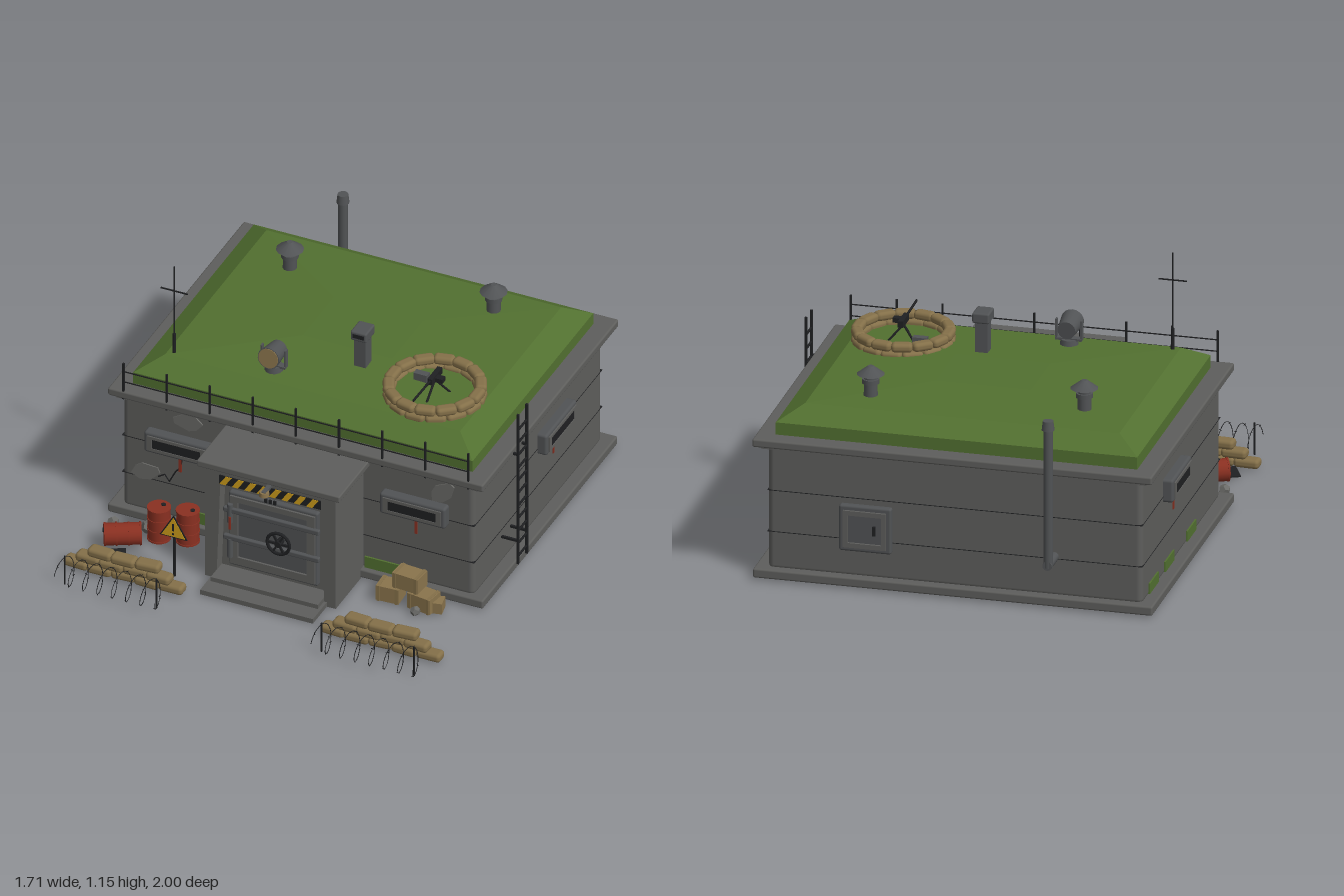
import * as THREE from 'three';
import { RoundedBoxGeometry } from 'three/addons/geometries/RoundedBoxGeometry.js';

const colour = (name, color) => { const m = new THREE.MeshStandardMaterial({ color }); m.name = name; return m; };
const concrete = colour('concrete', 0x5e5e5c), plaster = colour('chippedConcrete', 0x6a6a67);
const steel = colour('steel', 0x515355), black = colour('blackMetal', 0x1f2022);
const grass = colour('grass', 0x527030), sand = colour('sandbagCloth', 0x847049);
const wood = colour('crateWood', 0x8a744c), red = colour('rustRed', 0x8a3021), yellow = colour('warningYellow', 0xd2a01c);
const V = (x, y, z) => new THREE.Vector3(x, y, z);
const CX = -0.0125; // centre line of the bunker

function add(parent, name, geo, mat, x = 0, y = 0, z = 0, rx = 0, ry = 0, rz = 0) {
  const m = new THREE.Mesh(geo, mat);
  m.name = name; m.position.set(x, y, z); m.rotation.set(rx, ry, rz);
  parent.add(m);
  return m;
}
function group(parent, name, x = 0, y = 0, z = 0, ry = 0) {
  const g = new THREE.Group();
  g.name = name; g.position.set(x, y, z); g.rotation.y = ry;
  parent.add(g);
  return g;
}
const box = (w, h, d) => new THREE.BoxGeometry(w, h, d);
const rbox = (w, h, d, r = 0.01) => new RoundedBoxGeometry(w, h, d, 2, r);
const cyl = (rt, rb, h, n = 16) => new THREE.CylinderGeometry(rt, rb, h, n);
// Rod between two points
function rod(parent, name, a, b, r, mat, n = 6) {
  const d = b.clone().sub(a), m = add(parent, name, cyl(r, r, d.length(), n), mat);
  m.position.copy(a).addScaledVector(d, 0.5);
  m.quaternion.setFromUnitVectors(V(0, 1, 0), d.normalize());
}
// Flat outline with thickness, holes optional
function plate(pts, depth, hole) {
  const shape = new THREE.Shape(pts.map(p => new THREE.Vector2(...p)));
  if (hole) shape.holes.push(new THREE.Path(hole.map(p => new THREE.Vector2(...p))));
  return new THREE.ExtrudeGeometry(shape, { depth, bevelEnabled: false });
}
const rect = (x0, x1, y0, y1) => [[x0, y0], [x1, y0], [x1, y1], [x0, y1]];
// Box whose top is shrunk
function tapered(w, h, d, tw, td) {
  const g = box(w, h, d), p = g.attributes.position;
  for (let i = 0; i < p.count; i++) if (p.getY(i) > 0) p.setXYZ(i, p.getX(i) * tw / w, p.getY(i), p.getZ(i) * td / d);
  g.computeVertexNormals();
  return g;
}

// Firing slit with frame, dark opening and rust streak, facing +z
function slit(parent, x, y, z, ry) {
  const g = group(parent, 'firingSlit', x, y, z, ry);
  add(g, 'slitFrame', rbox(0.295, 0.1, 0.06, 0.012), steel, 0, 0, 0.01);
  add(g, 'slitFrameRim', plate(rect(-0.13, 0.13, -0.035, 0.035), 0.006, rect(-0.108, 0.108, -0.022, 0.022)), concrete, 0, 0, 0.04);
  add(g, 'slitOpening', box(0.216, 0.044, 0.004), black, 0, 0, 0.041);
  add(g, 'rustStreak', box(0.012, 0.085, 0.004), red, 0, -0.09, 0.002);
}
// Stacked sandbag wall with a coil of barbed wire before it
function barricade(parent, x0, x1) {
  const g = group(parent, 'sandbagWall');
  [5, 4, 3].forEach((n, row) => {
    const L = (x1 - x0) / 5, mid = (x0 + x1) / 2;
    for (let i = 0; i < n; i++)
      add(g, 'sandbag', rbox(L + 0.003, 0.04, 0.06, 0.016), sand, mid + (i - (n - 1) / 2) * L, 0.022 + row * 0.037, 0.8 + (i % 2) * 0.006, 0, (i % 3 - 1) * 0.06);
  });
  const a = x0 + 0.04, b = x1 - 0.04, pts = [];
  for (let i = 0; i <= 7 * 16; i++) {
    const t = i / 16 * Math.PI * 2;
    pts.push(V(a + (b - a) * i / 112, 0.068 + 0.06 * Math.sin(t), 0.94 + 0.06 * Math.cos(t)));
  }
  add(g, 'barbedWire', new THREE.TubeGeometry(new THREE.CatmullRomCurve3(pts), 224, 0.0015, 4), black);
  for (let i = 2; i < pts.length; i += 4) add(g, 'barb', box(0.012, 0.002, 0.002), black, pts[i].x, pts[i].y, pts[i].z, 0, 0, i);
  for (const x of [a + 0.02, b - 0.02]) add(g, 'wirePost', cyl(0.004, 0.004, 0.14, 6), black, x, 0.07, 0.94);
}
function barrel(parent, x, y, z, ry, lying) {
  const g = group(parent, 'barrel', x, y, z, ry);
  if (lying) g.rotation.z = Math.PI / 2;
  add(g, 'barrelBody', cyl(0.047, 0.047, 0.15), red);
  for (const h of [-0.073, -0.025, 0.025, 0.073]) add(g, 'barrelHoop', cyl(0.05, 0.05, 0.007), red, 0, h);
  add(g, 'barrelCap', cyl(0.01, 0.01, 0.006, 8), black, 0.022, 0.078);
}

function bunker(root) {
  const g = group(root, 'bunker');
  add(g, 'baseSlab', rbox(1.68, 0.04, 1.31, 0.008), concrete, CX, 0.025, -0.255);
  add(g, 'walls', rbox(1.575, 0.56, 1.24, 0.025), concrete, CX, 0.31, -0.25);
  add(g, 'cornice', box(1.62, 0.02, 1.27), concrete, CX, 0.575, -0.255);
  add(g, 'roofSlab', rbox(1.68, 0.035, 1.32, 0.008), concrete, CX, 0.597, -0.26);
  for (const y of [0.2, 0.38]) add(g, 'wallSeam', box(1.577, 0.003, 1.242), black, CX, y, -0.25);
  add(g, 'turfSide', box(1.52, 0.055, 1.17), grass, CX, 0.64, -0.26);
  add(g, 'turfSlope', tapered(1.52, 0.06, 1.17, 1.32, 0.98), grass, CX, 0.6975, -0.26);
  add(g, 'turfTop', tapered(1.32, 0.014, 0.98, 0.4, 0.3), grass, CX, 0.7345, -0.26);
  for (const s of [-1, 1]) {
    slit(g, CX + s * 0.5275, 0.405, 0.37, 0);
    slit(g, CX + s * 0.79, 0.405, -0.39, s * Math.PI / 2);
    for (const z of [-0.7, -0.45, -0.1]) if (s < 0) add(g, 'moss', box(0.008, 0.05, 0.14), grass, CX - 0.79, 0.065, z);
    add(g, 'moss', box(0.2, 0.055, 0.012), grass, CX + s * 0.4, 0.07, 0.372);
  }
  // Chipped patches and a crack on the front wall
  const chip = [[-0.07, -0.02], [-0.03, -0.04], [0.02, -0.03], [0.06, 0.01], [0.05, 0.035], [-0.02, 0.04], [-0.05, 0.02]];
  for (const [x, y, r] of [[-0.69, 0.23, 0], [-0.51, 0.53, 2.9], [0.64, 0.51, 0.5]]) add(g, 'chippedPatch', plate(chip, 0.006), plaster, x, y, 0.369, 0, 0, r);
  const crack = [[-0.64, 0.22], [-0.61, 0.24], [-0.59, 0.21], [-0.56, 0.27], [-0.54, 0.29], [-0.53, 0.35]];
  for (let i = 1; i < crack.length; i++) rod(g, 'crack', V(...crack[i - 1], 0.37), V(...crack[i], 0.37), 0.003, black, 4);
  // Rear hatch and stove pipe
  const h = group(g, 'rearHatch', 0.36, 0.255, -0.87, Math.PI);
  add(h, 'hatchFrame', rbox(0.22, 0.2, 0.05), steel);
  add(h, 'hatchRim', plate(rect(-0.09, 0.09, -0.08, 0.08), 0.01, rect(-0.07, 0.07, -0.06, 0.06)), concrete, 0, 0, 0.025);
  add(h, 'hatchHandle', box(0.012, 0.04, 0.012), black, 0.04, 0, 0.03);
  rod(g, 'pipeElbow', V(-0.43, 0.21, -0.86), V(-0.43, 0.21, -0.985), 0.02, steel, 12);
  add(g, 'stovePipe', cyl(0.02, 0.02, 0.62, 12), steel, -0.43, 0.51, -0.967);
  add(g, 'pipeCap', cyl(0.022, 0.027, 0.04, 12), steel, -0.43, 0.82, -0.967);
  // Side ladder
  const l = group(g, 'ladder', 0.848, 0, 0.06);
  for (const z of [-0.042, 0.042]) {
    add(l, 'ladderRail', box(0.01, 0.735, 0.01), black, 0, 0.42, z);
    for (const y of [0.165, 0.59]) add(l, 'ladderBracket', box(0.08, 0.01, 0.01), black, -0.04, y, z);
  }
  for (let i = 0; i < 11; i++) add(l, 'ladderRung', cyl(0.005, 0.005, 0.084, 6), black, 0, 0.09 + i * 0.062, 0, Math.PI / 2);
  // Front railing
  for (let i = 0; i < 9; i++) add(g, 'railingPost', box(0.008, 0.175, 0.008), black, -0.785 + i * 0.193, 0.663, 0.392);
  for (const y of [0.66, 0.71]) add(g, 'railingWire', box(1.545, 0.004, 0.004), black, CX, y, 0.392);
}

function entrance(root) {
  const g = group(root, 'entrance', CX);
  add(g, 'porchCore', box(0.585, 0.55, 0.24), concrete, 0, 0.275, 0.47);
  add(g, 'porchFrame', plate(rect(-0.2925, 0.2925, 0, 0.55), 0.05, [[-0.24, 0.04], [0.24, 0.04], [0.225, 0.46], [-0.225, 0.46]]), concrete, 0, 0, 0.59);
  add(g, 'porchRoof', rbox(0.64, 0.03, 0.3, 0.006), concrete, 0, 0.558, 0.515);
  add(g, 'lowerStep', box(0.505, 0.022, 0.15), concrete, 0, 0.011, 0.7);
  add(g, 'upperStep', box(0.48, 0.04, 0.06), concrete, 0, 0.022, 0.67);
  // Hazard band
  add(g, 'hazardBand', box(0.455, 0.042, 0.004), black, 0, 0.493, 0.642);
  for (let i = 0; i < 8; i++) add(g, 'hazardStripe', plate([[0, 0], [0.027, 0], [0.055, 0.042], [0.028, 0.042]], 0.003), yellow, -0.226 + i * 0.0555, 0.472, 0.643);
  add(g, 'lampArm', box(0.02, 0.012, 0.07), steel, 0, 0.527, 0.675);
  add(g, 'lamp', cyl(0.02, 0.022, 0.018, 12), wood, 0, 0.522, 0.7);
  // Blast door
  add(g, 'door', rbox(0.4, 0.36, 0.04, 0.01), steel, 0, 0.245, 0.595);
  add(g, 'doorRim', plate(rect(-0.19, 0.19, 0.08, 0.41), 0.012, rect(-0.155, 0.155, 0.115, 0.385)), concrete, 0, 0, 0.612);
  for (const y of [0.345, 0.21]) add(g, 'doorBar', rbox(0.43, 0.024, 0.02, 0.006), steel, 0, y, 0.627);
  for (const y of [0.33, 0.16]) add(g, 'hinge', cyl(0.012, 0.012, 0.09, 10), steel, -0.185, y, 0.63);
  add(g, 'rustStreak', box(0.01, 0.06, 0.004), red, -0.18, 0.29, 0.645);
  for (const x of [-0.02, 0, 0.02]) add(g, 'ventSlot', box(0.012, 0.018, 0.006), black, x, 0.445, 0.641);
  const w = group(g, 'lockWheel', 0.04, 0.255, 0.65);
  add(w, 'wheelRim', new THREE.TorusGeometry(0.05, 0.007, 8, 24), black);
  add(w, 'wheelHub', cyl(0.014, 0.014, 0.04, 12), black, 0, 0, -0.01, Math.PI / 2);
  for (let i = 0; i < 3; i++) add(w, 'wheelSpoke', box(0.1, 0.009, 0.008), black, 0, 0, 0, 0, 0, i * Math.PI / 3);
}

function roofGear(root) {
  const g = group(root, 'roofGear');
  for (const [x, z] of [[-0.47, -0.54], [0.41, -0.61]]) {
    const v = group(g, 'mushroomVent', x, 0.72, z);
    add(v, 'ventStem', cyl(0.028, 0.03, 0.12, 12), steel, 0, 0.05);
    add(v, 'ventCollar', cyl(0.036, 0.036, 0.02, 12), steel, 0, 0.075);
    add(v, 'ventCap', cyl(0.012, 0.058, 0.035, 12), steel, 0, 0.122);
  }
  add(g, 'periscopeStem', box(0.052, 0.16, 0.056), steel, 0.09, 0.8, -0.033);
  add(g, 'periscopeHead', rbox(0.072, 0.045, 0.088, 0.008), steel, 0.09, 0.892, -0.033);
  add(g, 'periscopeSlot', box(0.05, 0.018, 0.004), black, 0.09, 0.894, 0.011);
  // Searchlight
  const s = group(g, 'searchlight', -0.225, 0.81, 0.145);
  add(s, 'lightFoot', cyl(0.035, 0.04, 0.03, 12), steel, 0, -0.07);
  add(s, 'yokeBase', box(0.11, 0.01, 0.03), steel, 0, -0.055);
  for (const x of [-0.053, 0.053]) add(s, 'yokeArm', box(0.008, 0.085, 0.02), steel, x, -0.015);
  add(s, 'lightDrum', cyl(0.048, 0.038, 0.1, 18), steel, 0, 0, 0.005, Math.PI / 2 - 0.1);
  add(s, 'lightLens', cyl(0.044, 0.044, 0.004, 18), wood, 0, 0.006, 0.056, Math.PI / 2 - 0.1);
  // Antenna
  add(g, 'antennaBase', cyl(0.007, 0.009, 0.12, 8), black, -0.645, 0.76, 0.203);
  add(g, 'antennaMast', cyl(0.003, 0.004, 0.44, 6), black, -0.645, 0.93, 0.203);
  add(g, 'antennaCross', box(0.12, 0.005, 0.005), black, -0.645, 1.03, 0.203);
  // Sandbag ring with a gun on a tripod
  const n = group(g, 'gunNest', 0.44, 0.72, 0.025);
  for (let row = 0; row < 2; row++) for (let i = 0; i < 14; i++) {
    const a = (i + row * 0.5) / 14 * Math.PI * 2;
    add(n, 'ringSandbag', rbox(0.088, 0.038, 0.05, 0.016), sand, 0.187 * Math.sin(a), 0.012 + row * 0.037, 0.187 * Math.cos(a), 0, a);
  }
  for (const [x, z] of [[-0.055, -0.03], [0.055, -0.03], [0, 0.08]]) rod(n, 'tripodLeg', V(0, 0.075, 0), V(x, 0.01, z), 0.005, black);
  add(n, 'gunBody', box(0.022, 0.028, 0.1), black, 0, 0.092, 0);
  rod(n, 'gunBarrel', V(0, 0.095, 0.04), V(0, 0.1, 0.21), 0.005, black);
  add(n, 'gunFeed', box(0.04, 0.02, 0.03), black, 0.025, 0.09, 0.01);
  add(n, 'ammoBox', box(0.06, 0.04, 0.03), steel, -0.085, 0.03, -0.055);
}

function yard(root) {
  const g = group(root, 'yard');
  barricade(g, -0.855, -0.325);
  barricade(g, 0.295, 0.83);
  barrel(g, -0.47, 0.08, 0.45, 0);
  barrel(g, -0.585, 0.08, 0.48, 1);
  barrel(g, -0.7, 0.055, 0.585, 0.48, true);
  add(g, 'oilPuddle', box(0.15, 0.006, 0.11), black, -0.715, 0.006, 0.695, 0, 0.45);
  for (const [x, z, r] of [[-0.79, 0.48, 0.026], [-0.645, 0.455, 0.03], [-0.53, 0.42, 0.022], [0.59, 0.54, 0.022]])
    add(g, 'rubble', new THREE.DodecahedronGeometry(r), plaster, x, r * 0.8, z, 0.4, x * 9);
  // Crates
  for (const [x, y, z, w, ry] of [[0.45, 0.04, 0.475, 0.1, 0.05], [0.6, 0.04, 0.48, 0.11, -0.15], [0.53, 0.112, 0.465, 0.12, -0.08]]) {
    const c = group(g, 'crate', x, y, z, ry);
    add(c, 'crateBody', box(w, 0.07, 0.08), wood);
    for (const e of [-1, 1]) add(c, 'crateBatten', box(0.012, 0.073, 0.085), sand, e * w * 0.4);
  }
  add(g, 'smallCrate', box(0.05, 0.05, 0.06), wood, 0.66, 0.028, 0.475, 0, 0.2);
  // Warning sign
  const s = group(g, 'warningSign', -0.415, 0, 0.705);
  add(s, 'signPost', box(0.01, 0.28, 0.008), black, 0, 0.14, -0.006);
  add(s, 'signBorder', plate([[-0.062, 0.195], [0.062, 0.195], [0, 0.303]], 0.004), black);
  add(s, 'signFace', plate([[-0.053, 0.2], [0.053, 0.2], [0, 0.293]], 0.003), yellow, 0, 0, 0.003);
  add(s, 'signMark', box(0.008, 0.035, 0.002), black, 0, 0.246, 0.007);
  add(s, 'signMark', box(0.008, 0.008, 0.002), black, 0, 0.214, 0.007);
}

export function createModel() {
  const root = new THREE.Group();
  root.name = 'bunkerOutpost';
  bunker(root);
  entrance(root);
  roofGear(root);
  yard(root);
  return root;
}
